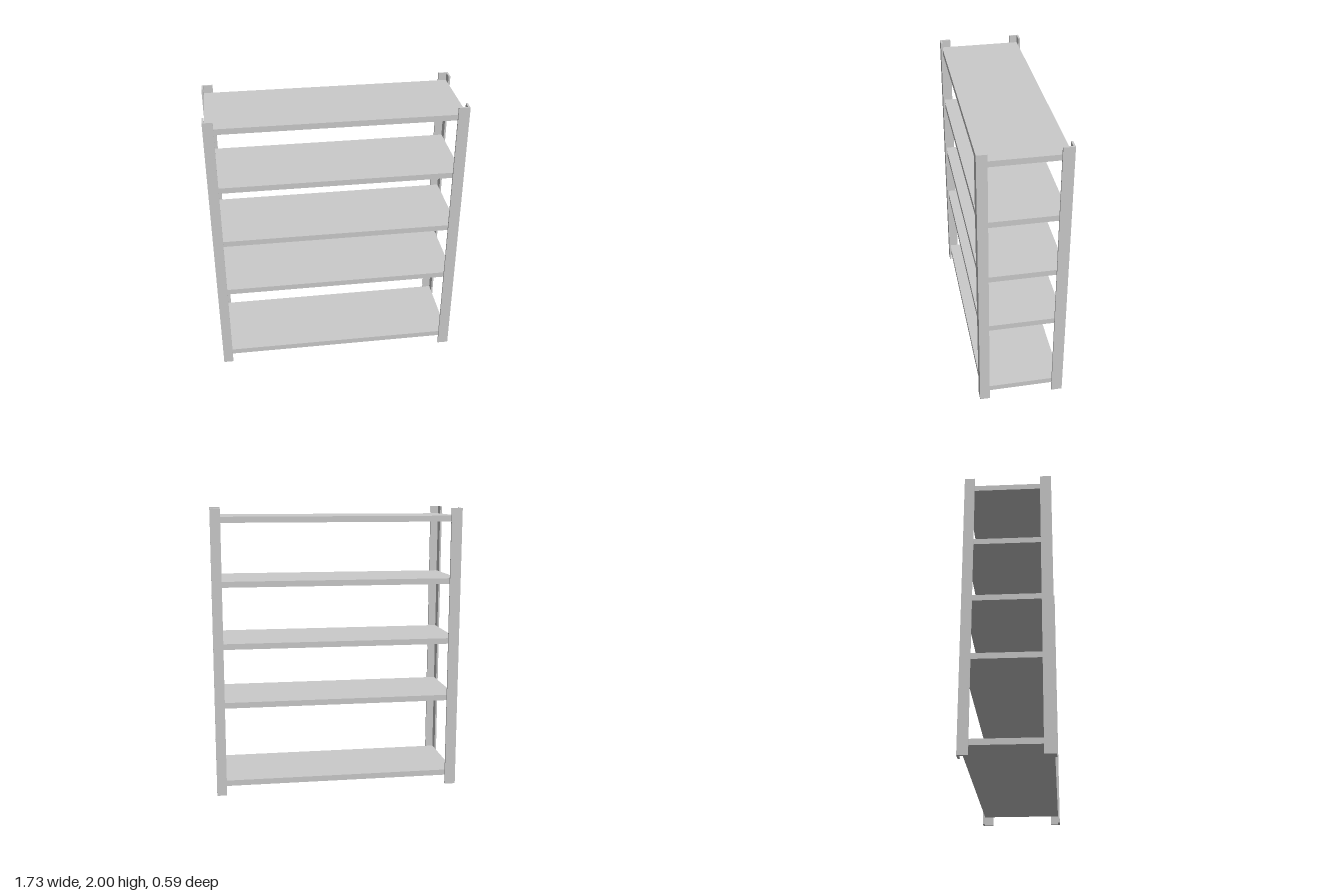
import * as THREE from 'three';

const HEIGHT = 2, HALF_W = 0.866, HALF_D = 0.297;
const SHEET = 0.013;                  // thickness of the angle profile
const LEG_LONG = 0.076, LEG_SHORT = 0.069;
const SHELF_THICK = 0.04;
const SHELF_TOPS = [0.105, 0.67, 1.085, 1.513, 1.947];

export function createModel() {
  const group = new THREE.Group();
  group.name = 'shelvingUnit';
  const material = new THREE.MeshStandardMaterial({ color: 0xcccccc });

  // Corner posts: one L-shaped angle profile, turned a quarter for each corner
  const profile = new THREE.Shape([
    [0, 0], [LEG_SHORT, 0], [LEG_SHORT, SHEET],
    [SHEET, SHEET], [SHEET, LEG_LONG], [0, LEG_LONG],
  ].map(([x, y]) => new THREE.Vector2(x, y)));
  const postGeometry = new THREE.ExtrudeGeometry(profile, { depth: HEIGHT, bevelEnabled: false });
  postGeometry.rotateX(-Math.PI / 2);

  const corners = [
    ['frontRightPost', -1, 1],
    ['frontLeftPost', 1, 1],
    ['backLeftPost', 1, -1],
    ['backRightPost', -1, -1],
  ];
  corners.forEach(([name, sx, sz], i) => {
    const post = new THREE.Mesh(postGeometry, material);
    post.name = name;
    post.position.set(sx * HALF_W, 0, sz * HALF_D);
    post.rotation.y = i * Math.PI / 2;
    group.add(post);
  });

  // Shelves fitted between the inner faces of the posts
  const shelfGeometry = new THREE.BoxGeometry(
    2 * (HALF_W - SHEET), SHELF_THICK, 2 * (HALF_D - SHEET));
  SHELF_TOPS.forEach((top, i) => {
    const shelf = new THREE.Mesh(shelfGeometry, material);
    shelf.name = `shelf${i + 1}`;
    shelf.position.y = top - SHELF_THICK / 2;
    group.add(shelf);
  });

  return group;
}
